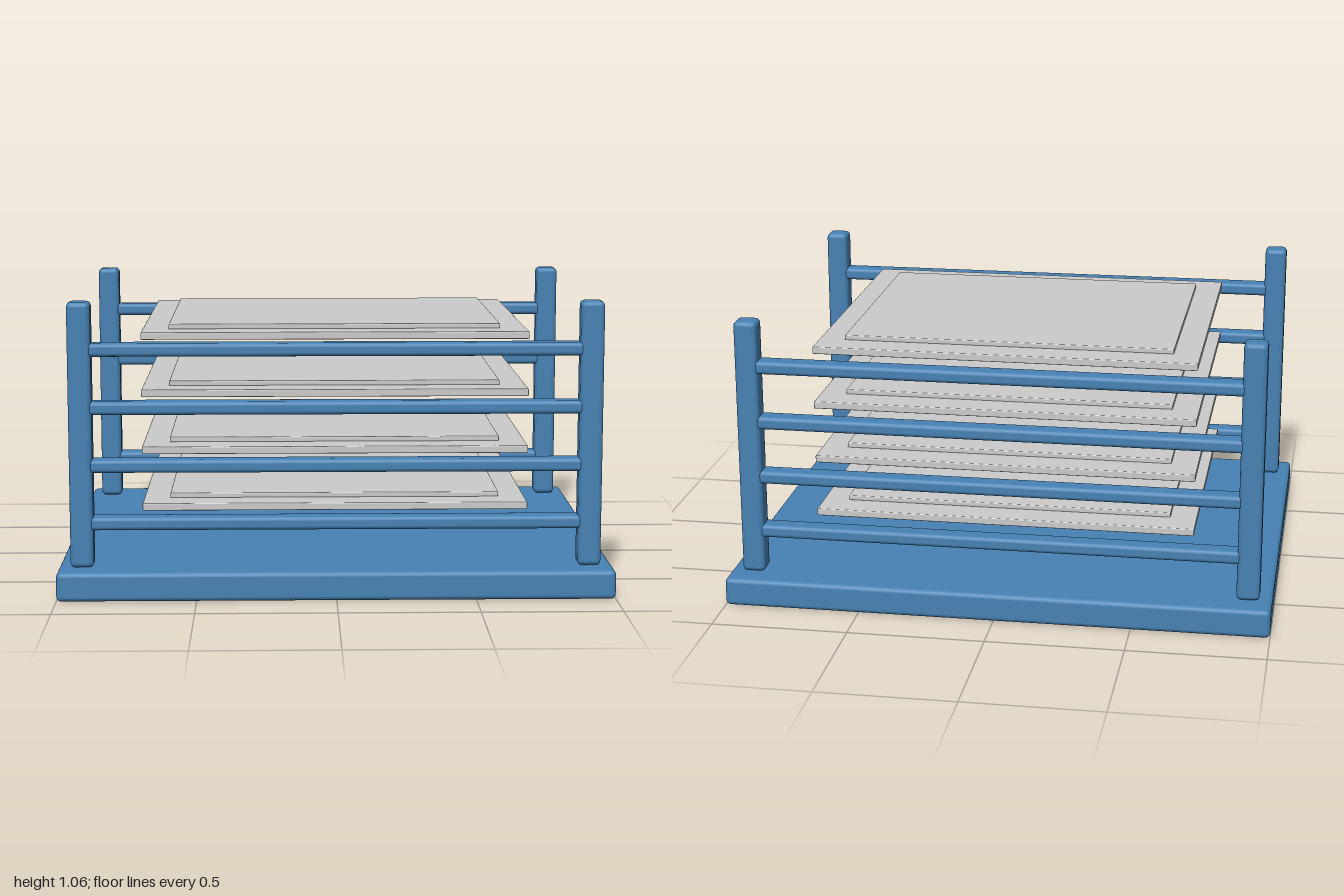
import * as THREE from 'three';
import { RoundedBoxGeometry } from 'three/addons/geometries/RoundedBoxGeometry.js';

const LEVELS = 4;
const SPACING = 0.209;

export function createModel() {
  const rack = new THREE.Group();
  rack.name = 'trayRack';
  const blue = new THREE.MeshStandardMaterial({ color: 0x4682b4 });
  const grey = new THREE.MeshStandardMaterial({ color: 0xcccccc });

  // Rounded block placed by its centre
  function block(name, material, [w, h, d], radius, [x, y, z]) {
    const mesh = new THREE.Mesh(new RoundedBoxGeometry(w, h, d, 3, radius), material);
    mesh.name = name;
    mesh.position.set(x, y, z);
    rack.add(mesh);
  }

  // Base plate
  block('base', blue, [2, 0.105, 1.65], 0.018, [0, 0.0525, 0]);

  // Four corner posts
  for (const x of [-0.913, 0.913]) {
    for (const z of [-0.697, 0.697]) {
      block('cornerPost', blue, [0.084, 0.957, 0.084], 0.018, [x, 0.5835, z]);
    }
  }

  // Each level: front and back rails, a tray and its raised panel
  for (let i = 0; i < LEVELS; i++) {
    const y = 0.264 + i * SPACING;
    for (const z of [-0.697, 0.697]) {
      block('rail', blue, [1.78, 0.048, 0.075], 0.015, [0, y, z]);
    }
    block('tray', grey, [1.406, 0.027, 1.18], 0.004, [0, y + 0.034, 0]);
    block('trayPanel', grey, [1.214, 0.019, 0.957], 0.004, [0, y + 0.0555, 0]);
  }

  return rack;
}
